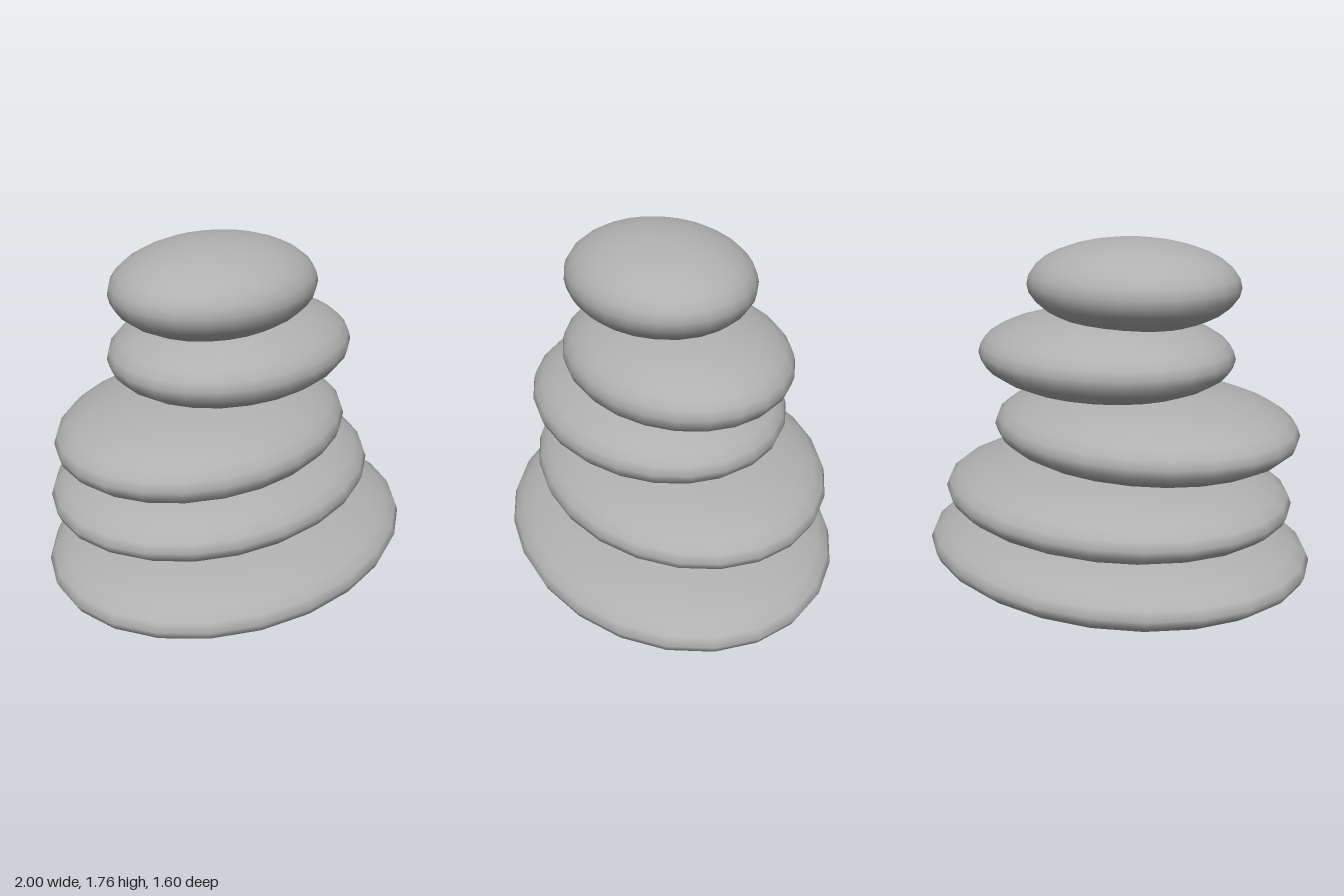
import * as THREE from 'three';

// Stones from bottom to top: centre [x, y, z] and radii [x, y, z]
const STONES = [
  { name: 'baseStone', at: [0, 0.22, 0], radii: [1, 0.217, 0.8] },
  { name: 'secondStone', at: [-0.04, 0.545, -0.08], radii: [0.877, 0.21, 0.71] },
  { name: 'middleStone', at: [-0.17, 0.875, -0.02], radii: [0.757, 0.211, 0.62] },
  { name: 'fourthStone', at: [0.035, 1.213, -0.032], radii: [0.64, 0.212, 0.53] },
  { name: 'topStone', at: [-0.1, 1.55, -0.007], radii: [0.517, 0.215, 0.44] },
];

export function createModel() {
  const group = new THREE.Group();
  group.name = 'stackedStones';
  const stone = new THREE.MeshStandardMaterial({ color: 0xb0b0b0 });
  stone.name = 'stone grey';

  // Each stone is a flattened smooth sphere, slightly offset from the one below
  for (const { name, at, radii } of STONES) {
    const geometry = new THREE.SphereGeometry(1, 24, 16).scale(...radii);
    const mesh = new THREE.Mesh(geometry, stone);
    mesh.name = name;
    mesh.position.set(...at);
    group.add(mesh);
  }
  return group;
}
